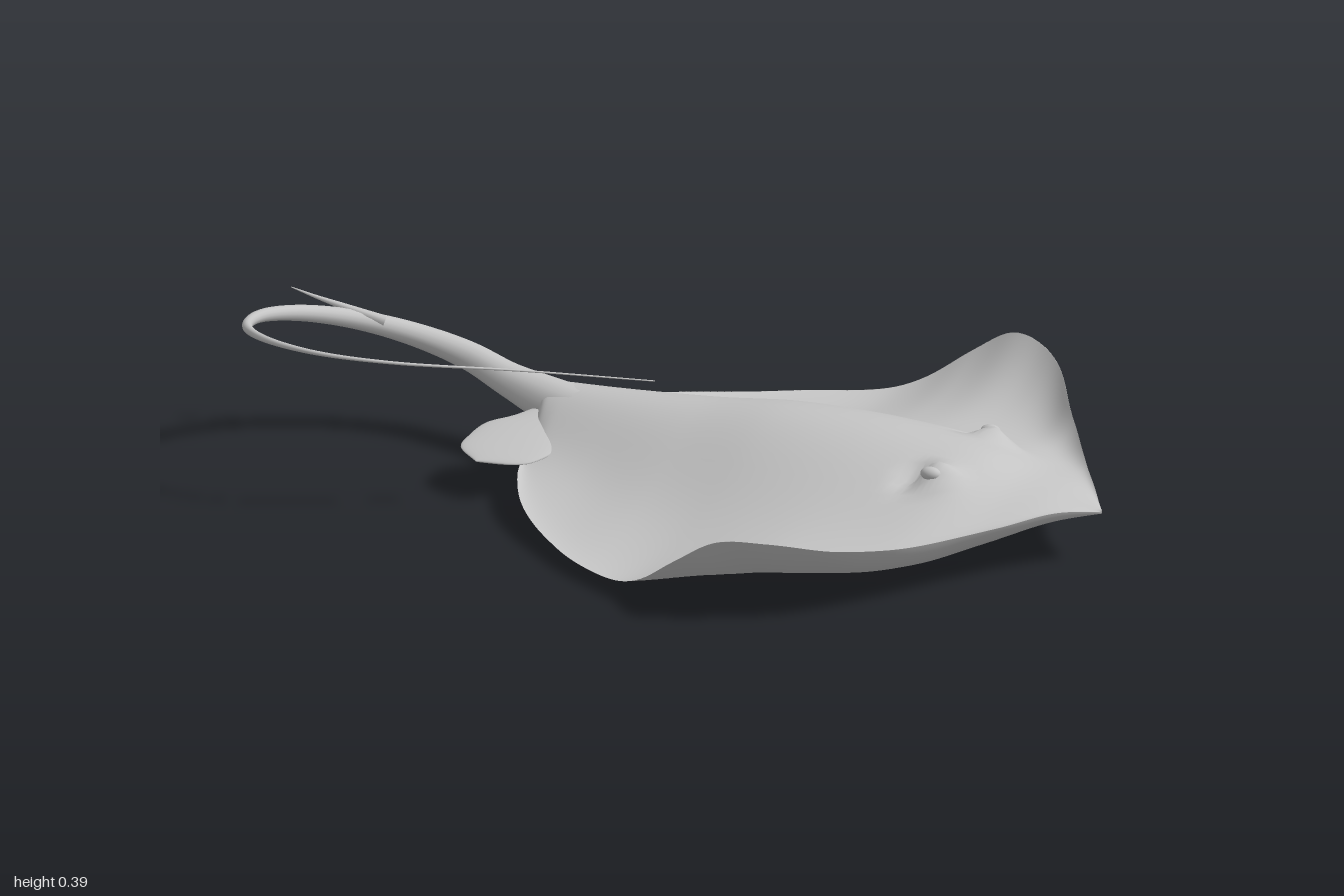
import * as THREE from 'three';

const skin = new THREE.MeshStandardMaterial({ color: 0xc4c4c4, side: THREE.DoubleSide });
skin.name = 'grey skin';

// Smooth interpolation through [x, value] points
function profile(pts) {
  const n = pts.length;
  const slope = pts.map((p, i) => {
    const a = pts[Math.max(i - 1, 0)], b = pts[Math.min(i + 1, n - 1)];
    return (b[1] - a[1]) / (b[0] - a[0]);
  });
  return (x) => {
    let i = 0;
    while (i < n - 2 && x > pts[i + 1][0]) i++;
    const [x0, y0] = pts[i], [x1, y1] = pts[i + 1], h = x1 - x0;
    const t = THREE.MathUtils.clamp((x - x0) / h, 0, 1), t2 = t * t, t3 = t2 * t;
    return y0 * (2 * t3 - 3 * t2 + 1) + slope[i] * h * (t3 - 2 * t2 + t)
      + y1 * (3 * t2 - 2 * t3) + slope[i + 1] * h * (t3 - t2);
  };
}

const halfWidth = profile([[-0.4, 0.03], [-0.37, 0.15], [-0.33, 0.28], [-0.25, 0.41], [-0.1, 0.55], [0, 0.62],
  [0.2, 0.715], [0.33, 0.752], [0.42, 0.738], [0.51, 0.695], [0.61, 0.605], [0.71, 0.46], [0.8, 0.305], [0.9, 0.145], [0.97, 0.042], [1, 0.001]]);
const edgeHeight = profile([[-0.4, 0.13], [-0.35, 0.09], [-0.2, 0.05], [0, 0.035], [0.12, 0.04], [0.2, 0.07],
  [0.3, 0.14], [0.4, 0.2], [0.5, 0.2], [0.65, 0.165], [0.75, 0.138], [0.85, 0.135], [0.93, 0.142], [1, 0.125]]);
const bellyHeight = profile([[-0.4, 0.125], [-0.35, 0.075], [-0.2, 0.03], [0, 0.003], [0.15, -0.008], [0.4, 0.006],
  [0.7, 0.033], [0.8, 0.063], [0.9, 0.1], [1, 0.12]]);
const backHeight = profile([[-0.4, 0.2], [-0.2, 0.208], [0, 0.22], [0.2, 0.242], [0.4, 0.243], [0.6, 0.228],
  [0.7, 0.212], [0.8, 0.175], [0.9, 0.155], [1, 0.13]]);
const ridgeSpread = profile([[-0.4, 0.09], [-0.2, 0.16], [0, 0.225], [0.25, 0.27], [0.6, 0.29], [1, 0.29]]);

const bump = (x, z, cx, cz, sx, sz) => Math.exp(-(((x - cx) / sx) ** 2) - ((z - cz) / sz) ** 2);

// Underside: belly slightly hollow in the middle, curling up to the rim, with a mouth fold
function underside(x, t, w) {
  const z = Math.abs(t * w);
  const hollow = 0.028 * Math.min(1, w / 0.7) * (1 - THREE.MathUtils.smoothstep(z, 0.2, 0.55)) * (1 - t * t) ** 2;
  return THREE.MathUtils.lerp(bellyHeight(x), edgeHeight(x), t ** 4) + hollow
    + 0.018 * bump(x, z, 0.68, 0, 0.014, 0.07) - 0.02 * bump(x, z, 0.72, 0, 0.018, 0.07);
}

// Upper side: domed central body over thin wings, with eye bumps and spiracle pits
function upperside(x, t, w) {
  const z = Math.abs(t * w), belly = bellyHeight(x);
  const ridge = Math.exp(-((z / ridgeSpread(x)) ** 2));
  const hump = (0.36 * (1 - t * t) + 0.64 * ridge) * (1 - t ** 4);
  const eye = 0.036 * bump(x, z, 0.66, 0.135, 0.045, 0.032) - 0.035 * bump(x, z, 0.595, 0.15, 0.028, 0.024);
  return THREE.MathUtils.lerp(belly, edgeHeight(x), t ** 4) + (backHeight(x) - belly) * hump + eye;
}

// Disc built from closed cross-sections, tail end to snout; one wing's shoulder is a little fuller
function discGeometry() {
  const nx = 130, nv = 56, ring = nv * 2, pos = [], index = [];
  for (let i = 0; i <= nx; i++) {
    const x = 0.3 - 0.7 * Math.cos((i / nx) * Math.PI);
    const fuller = 0.03 * bump(x, 0, 0.67, 0, 0.09, 1);
    for (let j = 0; j < ring; j++) {
      const t = -Math.cos((j / nv) * Math.PI), w = halfWidth(x) + Math.sign(t) * fuller;
      pos.push(x, j <= nv ? upperside(x, t, w) : underside(x, t, w), t * w);
    }
  }
  for (let i = 0; i < nx; i++) for (let j = 0; j < ring; j++) {
    const a = i * ring + j, b = i * ring + (j + 1) % ring;
    index.push(a, b, a + ring, b, b + ring, a + ring);
  }
  const geo = new THREE.BufferGeometry();
  geo.setAttribute('position', new THREE.Float32BufferAttribute(pos, 3));
  geo.setIndex(index);
  geo.computeVertexNormals();
  return geo;
}

// Tube whose radius follows a profile along its length
function taperedTube(points, radius, steps, sides) {
  const curve = new THREE.CatmullRomCurve3(points.map((p) => new THREE.Vector3(...p)));
  const geo = new THREE.TubeGeometry(curve, steps, 1, sides);
  const pos = geo.attributes.position, v = new THREE.Vector3();
  for (let i = 0; i <= steps; i++) {
    const c = curve.getPointAt(i / steps), r = radius(i / steps);
    for (let j = 0; j <= sides; j++) {
      const k = i * (sides + 1) + j;
      v.fromBufferAttribute(pos, k).sub(c).multiplyScalar(r).add(c);
      pos.setXYZ(k, v.x, v.y, v.z);
    }
  }
  return geo;
}

// Pelvic fin: thin rounded lobe built from rings running out from the tail root, sloping down outward
function finGeometry(side, shift) {
  const front = profile([[0, -0.3], [0.12, -0.29], [0.19, -0.32], [0.215, -0.36], [0.235, -0.44]]);
  const rear = profile([[0, -0.41], [0.05, -0.445], [0.09, -0.485], [0.15, -0.5], [0.2, -0.495], [0.235, -0.44]]);
  const rows = 24, ring = 32, pos = [], index = [];
  for (let i = 0; i <= rows; i++) {
    const out = 0.235 * Math.sin((i / rows) * Math.PI / 2);
    const mid = (front(out) + rear(out)) / 2, half = (front(out) - rear(out)) / 2;
    const thick = 0.014 * Math.sqrt(1 - (out / 0.2351) ** 2);
    for (let j = 0; j < ring; j++) {
      const a = (j / ring) * Math.PI * 2, x = mid + half * Math.cos(a);
      pos.push(x, 0.142 - 0.23 * out - 0.07 * (x + 0.4) + thick * Math.sin(a), side * out + shift);
    }
  }
  for (let i = 0; i < rows; i++) for (let j = 0; j < ring; j++) {
    const a = i * ring + j, b = i * ring + (j + 1) % ring, c = a + ring, d = b + ring;
    if (side > 0) index.push(a, b, c, b, d, c);
    else index.push(a, c, b, b, c, d);
  }
  const geo = new THREE.BufferGeometry();
  geo.setAttribute('position', new THREE.Float32BufferAttribute(pos, 3));
  geo.setIndex(index);
  geo.computeVertexNormals();
  return geo;
}

export function createModel() {
  const model = new THREE.Group();
  model.name = 'stingray';
  const add = (name, geo) => {
    const mesh = new THREE.Mesh(geo, skin);
    mesh.name = name;
    model.add(mesh);
    return mesh;
  };

  add('disc', discGeometry());
  add('rightPelvicFin', finGeometry(-1, 0.005));
  add('leftPelvicFin', finGeometry(1, 0.035));

  // Whip tail, curling round and forward over the body
  add('tail', taperedTube([[-0.2, 0.14, 0.012], [-0.34, 0.15, 0.008], [-0.5, 0.172, -0.03], [-0.62, 0.204, -0.053],
    [-0.74, 0.24, -0.032], [-0.85, 0.278, 0.03], [-0.94, 0.314, 0.13], [-0.985, 0.342, 0.25], [-0.955, 0.367, 0.39],
    [-0.86, 0.383, 0.48], [-0.72, 0.386, 0.512], [-0.55, 0.377, 0.47], [-0.3, 0.348, 0.315], [-0.05, 0.31, 0.15]],
  profile([[0, 0.052], [0.08, 0.054], [0.15, 0.039], [0.22, 0.031], [0.3, 0.024], [0.4, 0.018], [0.5, 0.012],
    [0.62, 0.006], [0.75, 0.0035], [1, 0.0015]]), 140, 14));

  // Barb on the tail
  add('barb', taperedTube([[-0.8, 0.278, 0.01], [-0.88, 0.308, 0.042], [-0.95, 0.332, 0.066], [-0.997, 0.352, 0.086]],
    (u) => 0.013 * (1 - u) + 0.001, 20, 8));

  // Eyes set in the bumps
  for (const [name, side] of [['rightEye', -1], ['leftEye', 1]]) {
    const eye = add(name, new THREE.SphereGeometry(0.018, 16, 12));
    eye.position.set(0.645, 0.206, side * 0.15);
    eye.scale.set(1.4, 0.9, 0.9);
  }
  return model;
}
